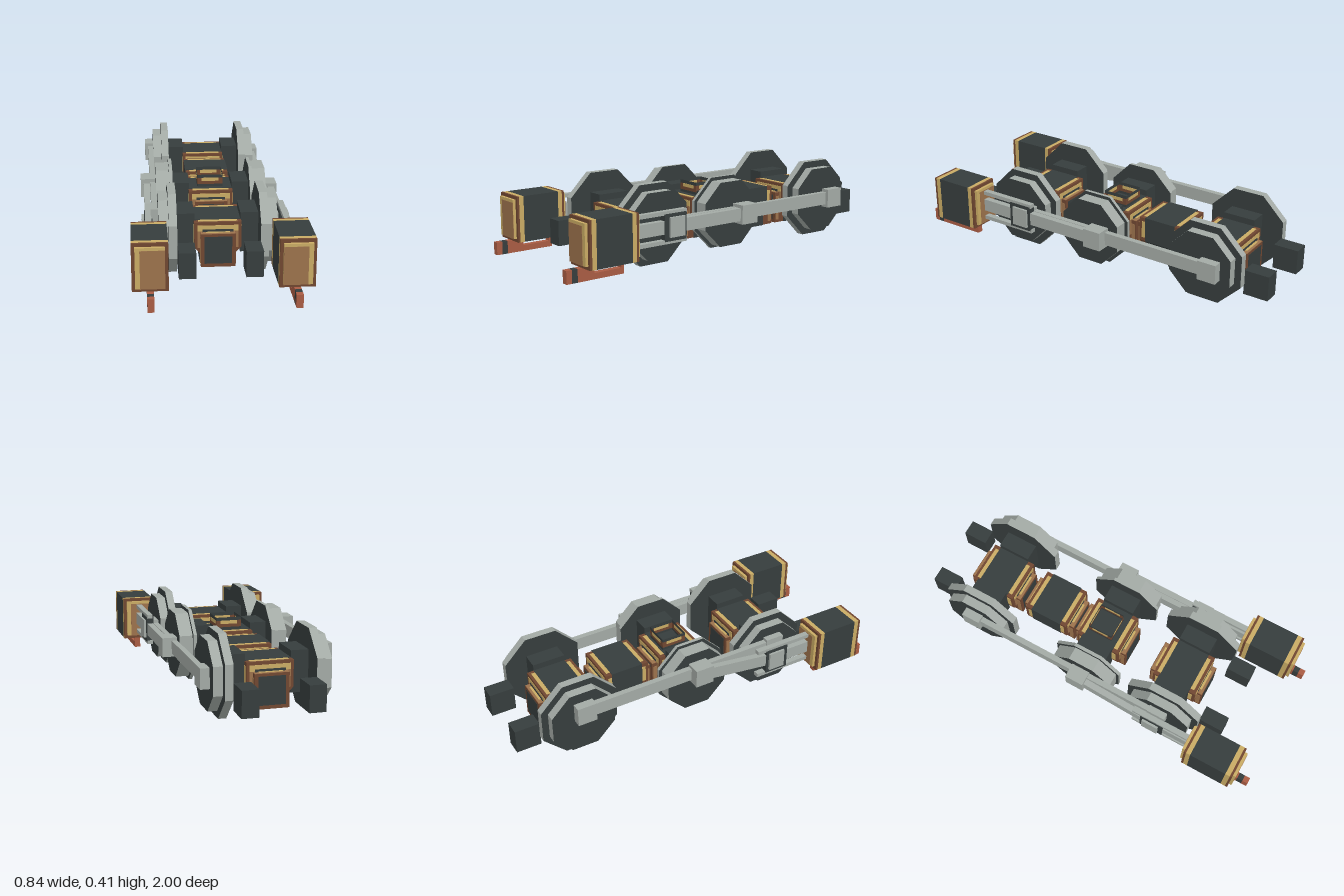
import * as THREE from 'three';

const mat = (name, color, extra = {}) => {
  const m = new THREE.MeshStandardMaterial({ color, ...extra });
  m.name = name;
  return m;
};

export function createModel() {
  const root = new THREE.Group();
  root.name = 'runningGear';
  const dark = mat('darkIron', 0x363d3d, { side: THREE.DoubleSide });
  const steel = mat('lightSteel', 0xa3aaa5);
  const brown = mat('darkCopper', 0x704731, { side: THREE.DoubleSide });
  const tan = mat('bronze', 0x9c724c);
  const gold = mat('brass', 0xc9ab64);
  const red = mat('redCopper', 0xa95c43);

  // Box given by its low and high limits on each axis
  const box = (parent, name, m, x0, x1, y0, y1, z0, z1) => {
    const g = new THREE.BoxGeometry(Math.abs(x1 - x0), y1 - y0, z1 - z0);
    const mesh = new THREE.Mesh(g, m);
    mesh.position.set((x0 + x1) / 2, (y0 + y1) / 2, (z0 + z1) / 2);
    mesh.name = name;
    parent.add(mesh);
    return mesh;
  };
  const group = (name, z = 0) => {
    const g = new THREE.Group();
    g.name = name;
    g.position.z = z;
    root.add(g);
    return g;
  };

  // Octagonal disc on the x axis: steel rim, dark faces
  const disc = (parent, name, s, x0, x1, apothem) => {
    const r = apothem / Math.cos(Math.PI / 8);
    const g = new THREE.CylinderGeometry(r, r, x1 - x0, 8).toNonIndexed();
    g.rotateY(Math.PI / 8);
    g.rotateZ(Math.PI / 2);
    g.computeVertexNormals();
    const mesh = new THREE.Mesh(g, [steel, dark, dark]);
    mesh.name = name;
    mesh.position.set(s * (x0 + x1) / 2, 0.203, 0);
    parent.add(mesh);
  };

  // Gear case section: flat top, chamfered lower corners
  const casing = (parent, name, m, w, halfLength) => {
    const shape = new THREE.Shape([
      [-w, 0.27], [-w, 0.14], [-0.04, 0.06], [0.04, 0.06], [w, 0.14], [w, 0.27],
    ].map(([x, y]) => new THREE.Vector2(x, y)));
    const g = new THREE.ExtrudeGeometry(shape, { depth: halfLength * 2, bevelEnabled: false });
    g.translate(0, 0, -halfLength);
    const mesh = new THREE.Mesh(g, m);
    mesh.name = name;
    parent.add(mesh);
  };

  const gearCase = (z) => {
    const g = group('gearCase', z);
    casing(g, 'caseCollar', brown, 0.115, 0.122);
    casing(g, 'caseCore', dark, 0.118, 0.087);
    box(g, 'caseCoreTop', dark, -0.118, 0.118, 0.262, 0.273, -0.087, 0.087);
    box(g, 'caseNose', brown, -0.085, 0.085, 0.05, 0.22, -0.152, 0.152);
    box(g, 'caseSump', dark, -0.087, 0.087, 0.048, 0.15, -0.087, 0.087);
    for (const e of [-1, 1]) {
      const plate = (name, m, x0, x1, y0, y1, za, zb) =>
        box(g, name, m, x0, x1, y0, y1, Math.min(e * za, e * zb), Math.max(e * za, e * zb));
      // Collar trim
      plate('collarPanel', tan, -0.1, 0.1, 0.14, 0.225, 0.12, 0.124);
      plate('collarBand', gold, -0.1, 0.1, 0.225, 0.255, 0.12, 0.124);
      plate('collarSlot', dark, -0.075, 0.075, 0.222, 0.235, 0.121, 0.126);
      plate('collarTop', gold, -0.095, 0.095, 0.266, 0.272, 0.087, 0.108);
      // Nose trim
      plate('noseFace', dark, -0.067, 0.067, 0.068, 0.207, 0.148, 0.154);
      plate('noseTop', tan, -0.083, 0.083, 0.216, 0.222, 0.122, 0.15);
      plate('noseTopBand', gold, -0.058, 0.058, 0.217, 0.224, 0.125, 0.138);
      for (const s of [-1, 1]) {
        plate('collarSide', gold, s * 0.11, s * 0.117, 0.16, 0.25, 0.087, 0.108);
        plate('noseSide', tan, s * 0.08, s * 0.087, 0.065, 0.2, 0.124, 0.146);
      }
    }
  };

  // Wheelsets: z centre, flange radius, flange outer x
  const axles = [[0.43, 0.203, 0.24], [-0.025, 0.185, 0.218], [-0.67, 0.203, 0.24]];
  for (const [z, r, fx] of axles) {
    const g = group('wheelset', z);
    for (const s of [-1, 1]) {
      disc(g, 'wheelFlange', s, 0.2, fx, r);
      disc(g, 'wheelTread', s, fx, 0.287, 0.168);
      box(g, 'axleBox', dark, s * 0.112, s * 0.2, 0.1, 0.305, -0.087, 0.087);
    }
    gearCase(z);
  }
  gearCase(-0.34);

  // Open square collar above the middle axle
  const collar = group('openCollar', -0.035);
  const bands = [[dark, 0.27, 0.286], [brown, 0.286, 0.303], [gold, 0.303, 0.321], [dark, 0.321, 0.338]];
  for (const [m, y0, y1] of bands) {
    for (let i = 0; i < 4; i++) {
      const wallMat = m === gold ? brown : m;
      const wall = new THREE.Mesh(new THREE.PlaneGeometry(0.134, y1 - y0), wallMat);
      wall.name = 'collarWall';
      const a = i * Math.PI / 2;
      wall.rotation.y = a;
      wall.position.set(Math.sin(a) * 0.067, (y0 + y1) / 2, Math.cos(a) * 0.067);
      collar.add(wall);
      if (m !== gold) continue;
      const trim = new THREE.Mesh(new THREE.BoxGeometry(0.09, y1 - y0, 0.002), gold);
      trim.name = 'collarTrim';
      trim.rotation.y = a;
      trim.position.copy(wall.position);
      collar.add(trim);
    }
  }

  for (const s of [-1, 1]) {
    // Frame end blocks
    box(root, 'rearBlock', dark, s * 0.118, s * 0.2, 0.07, 0.2, -1, -0.87);
    box(root, 'frontBlock', dark, s * 0.118, s * 0.2, 0.07, 0.2, 0.63, 0.76);

    // Cylinder block with stepped end caps
    const c = group('cylinder');
    box(c, 'cylinderCore', dark, s * 0.252, s * 0.42, 0.085, 0.32, 0.68, 0.878);
    for (const [z0, z1, f0, f1] of [[0.878, 0.903, 0.903, 0.915], [0.657, 0.68, 0.645, 0.657]]) {
      box(c, 'cylinderBand', gold, s * 0.252, s * 0.42, 0.085, 0.32, z0, z1);
      box(c, 'cylinderFlange', brown, s * 0.252, s * 0.42, 0.085, 0.32, f0, f1);
    }
    box(c, 'cylinderCaps', gold, s * 0.268, s * 0.404, 0.103, 0.304, 0.63, 0.93);
    for (const z of [0.628, 0.93]) {
      box(c, 'capPanel', tan, s * 0.268, s * 0.382, 0.103, 0.29, z, z + 0.002);
    }

    // Drain pipe under the cylinder
    const p = group('drainPipe');
    const px = [s * 0.32, s * 0.352];
    box(p, 'pipeRun', red, ...px, 0.02, 0.05, 0.685, 0.85);
    box(p, 'pipeRear', red, ...px, 0.05, 0.085, 0.685, 0.7);
    box(p, 'pipeFront', red, ...px, 0.02, 0.085, 0.85, 0.94);
    box(p, 'pipeBand', dark, ...px, 0.02, 0.085, 0.94, 0.97);
    box(p, 'pipeTip', red, ...px, 0.02, 0.085, 0.97, 1);

    // Rods: cranks on the two sides are a quarter turn apart
    const r = group('rods');
    const dz = s > 0 ? -0.063 : 0;
    const py = s > 0 ? 0.205 : 0.268;
    const cz = s > 0 ? 0.375 : 0.42;
    box(r, 'sideRod', steel, s * 0.287, s * 0.316, py - 0.034, py + 0.034, -0.7 + dz, 0.46 + dz);
    for (const [z, x1] of [[-0.67, 0.333], [-0.025, 0.365], [0.43, 0.322]]) {
      box(r, 'crankPin', steel, s * 0.287, s * x1, py - 0.05, py + 0.05, z + dz - 0.05, z + dz + 0.05);
    }

    // Main rod from the middle crank to the crosshead
    const z0 = -0.025 + dz;
    const rod = box(r, 'mainRod', steel, s * 0.318, s * 0.35, -0.033, 0.033, 0, Math.hypot(cz - z0, py - 0.205));
    rod.position.set(s * 0.334, (py + 0.205) / 2, (z0 + cz) / 2);
    rod.rotation.x = Math.atan2(py - 0.205, cz - z0);

    // Crosshead, piston rod and slide bars
    box(r, 'pistonRod', steel, s * 0.318, s * 0.35, 0.172, 0.238, cz, 0.645);
    box(r, 'crosshead', dark, s * 0.314, s * 0.354, 0.135, 0.272, cz - 0.06, cz + 0.07);
    box(r, 'crossheadPin', steel, s * 0.32, s * 0.366, 0.155, 0.255, cz - 0.045, cz + 0.045);
    for (const y of [0.122, 0.266]) {
      box(r, 'slideBar', steel, s * 0.32, s * 0.35, y, y + 0.02, 0.31, 0.645);
    }
  }
  return root;
}
